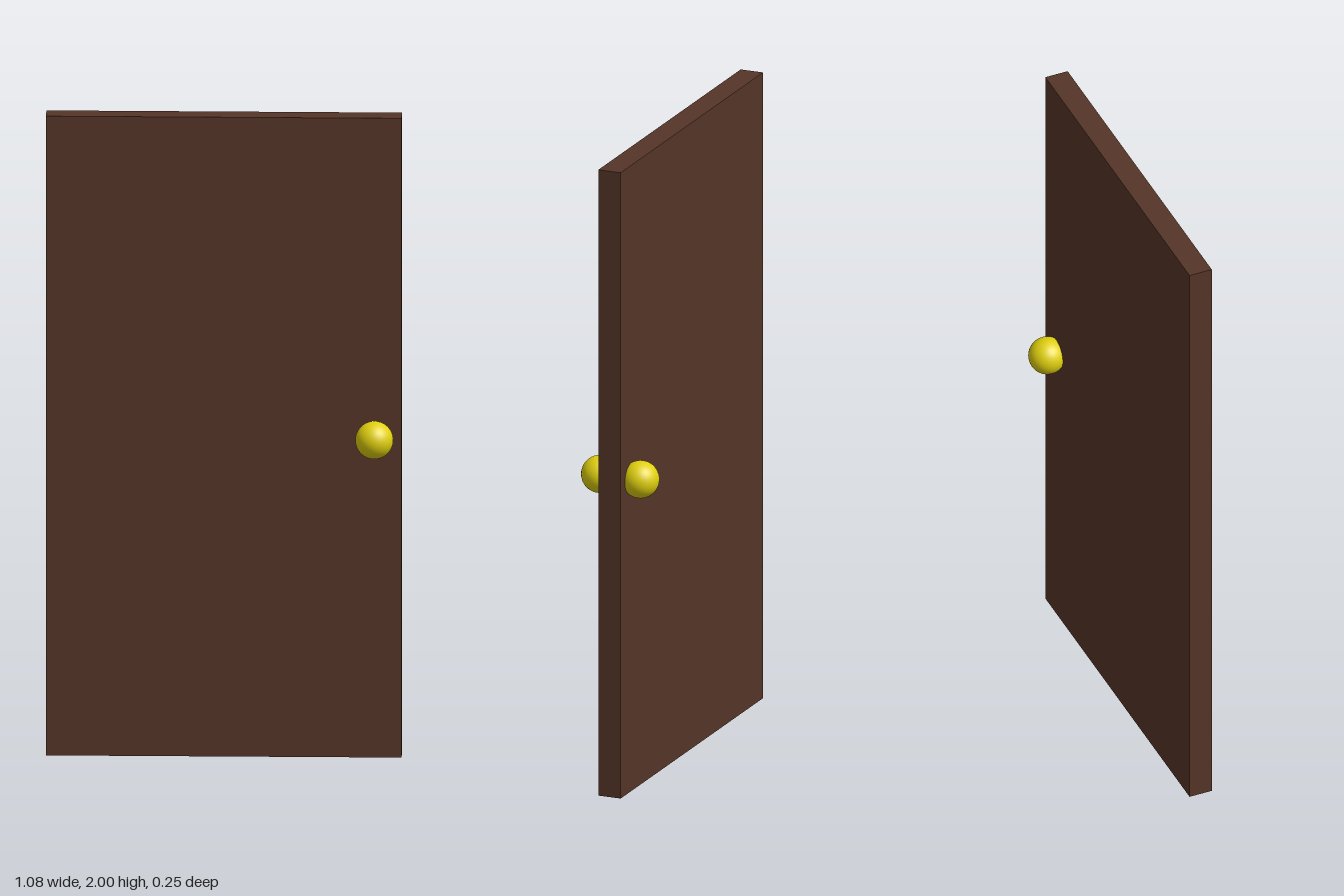
import * as THREE from 'three';

export function createModel() {
  const model = new THREE.Group();
  model.name = 'door';
  const wood = new THREE.MeshStandardMaterial({ color: 0x553529 });
  const brass = new THREE.MeshStandardMaterial({ color: 0xe0d010 });

  // Plain slab standing on the floor
  const panel = new THREE.Mesh(new THREE.BoxGeometry(1.082, 2, 0.074), wood);
  panel.name = 'doorPanel';
  panel.position.y = 1;
  model.add(panel);

  // Round knob on each face, partly sunk into the slab
  const knobGeometry = new THREE.SphereGeometry(0.058, 32, 24);
  for (const [name, side] of [['frontKnob', 1], ['backKnob', -1]]) {
    const knob = new THREE.Mesh(knobGeometry, brass);
    knob.name = name;
    knob.position.set(0.459, 1, side * 0.067);
    model.add(knob);
  }
  return model;
}
